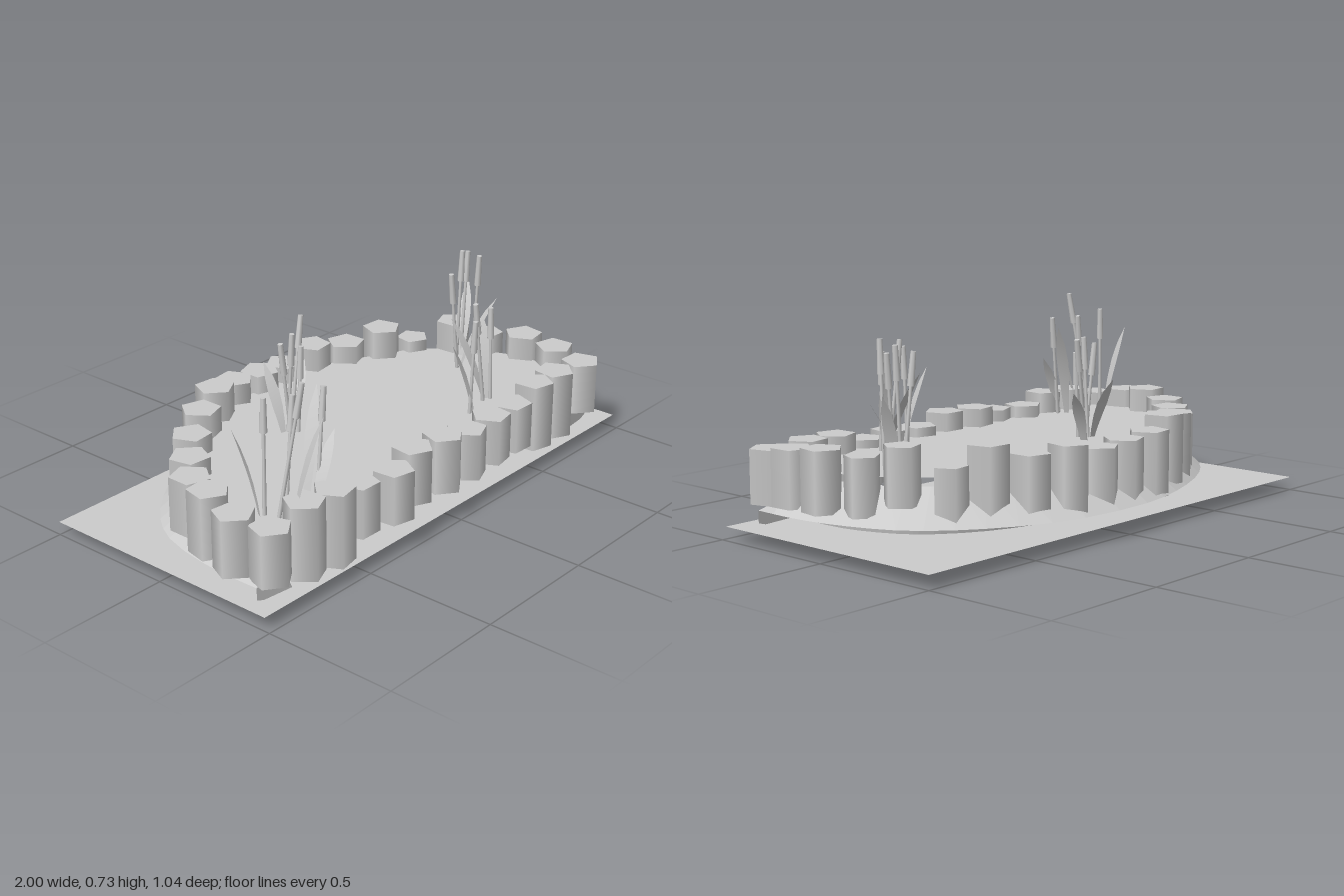
import * as THREE from 'three';

const grey = new THREE.MeshStandardMaterial({ color: 0xcccccc });
const thin = new THREE.MeshStandardMaterial({ color: 0xcccccc, side: THREE.DoubleSide });
const flat = new THREE.MeshStandardMaterial({ color: 0xcccccc, side: THREE.DoubleSide, flatShading: true });
const V = (x, y, z) => new THREE.Vector3(x, y, z);
const UP = V(0, 1, 0);
const GROUND = 0.06, WATER = 0.27;

function add(parent, name, geometry, material = grey) {
  const mesh = new THREE.Mesh(geometry, material);
  mesh.name = name;
  parent.add(mesh);
  return mesh;
}

// Surface through rows of points of equal length
function loft(rows) {
  const n = rows[0].length, index = [];
  for (let r = 0; r < rows.length - 1; r++) {
    for (let i = 0; i < n - 1; i++) {
      const a = r * n + i, b = a + n;
      index.push(a, b, a + 1, b, b + 1, a + 1);
    }
  }
  const g = new THREE.BufferGeometry().setFromPoints(rows.flat());
  g.setIndex(index);
  g.computeVertexNormals();
  return g;
}

// Tapered rod between two points
function rod(parent, name, a, b, r0, r1, sides) {
  const mesh = add(parent, name, new THREE.CylinderGeometry(r1, r0, a.distanceTo(b), sides));
  mesh.position.copy(a).lerp(b, 0.5);
  mesh.quaternion.setFromUnitVectors(UP, b.clone().sub(a).normalize());
}

// Reed: thin stem with a thicker seed head at the tip
function cattail(parent, [bx, bz, tx, ty, tz]) {
  const g = new THREE.Group();
  g.name = 'cattail';
  parent.add(g);
  const base = V(bx, WATER - 0.02, bz), tip = V(tx, ty, tz);
  const neck = tip.clone().lerp(base, 0.12 / base.distanceTo(tip));
  rod(g, 'stem', base, neck, 0.008, 0.006, 6);
  rod(g, 'seedHead', neck, tip, 0.013, 0.01, 7);
}

// Leaf: blade that starts upright, bends outward and ends in a point
function leaf(parent, [bx, bz, tx, ty, tz]) {
  const y0 = WATER - 0.02;
  const bend = new THREE.QuadraticBezierCurve3(
    V(bx, y0, bz), V(bx * 0.7 + tx * 0.3, y0 + (ty - y0) * 0.55, bz * 0.7 + tz * 0.3), V(tx, ty, tz));
  const across = V(tz - bz, 0, bx - tx).normalize();
  const rows = [0.008, 0.014, 0.02, 0.023, 0.017, 0.0005].map((w, i) => {
    const p = bend.getPoint(i / 5);
    return [p.clone().addScaledVector(across, -w), p.clone().addScaledVector(across, w)];
  });
  add(parent, 'leaf', loft(rows), thin);
}

// Horseshoe bank outlines, from the right front round the back: x, z
const lip = [[.92, .4], [.92, .2], [.88, 0], [.79, -.2], [.6, -.37], [.33, -.495], [-.065, -.525],
  [-.35, -.46], [-.62, -.34], [-.8, -.2], [-.9, -.05], [-.95, .2], [-.95, .4]];
const foot = [[.72, .42], [.74, .2], [.7, .03], [.62, -.1], [.45, -.22], [.22, -.29], [-.02, -.31],
  [-.25, -.29], [-.45, -.21], [-.6, -.1], [-.7, .04], [-.77, .22], [-.78, .42]];

// Edging stones: x, z, bottom, top, radius where smaller than usual
const stones = [
  [-.89, .41, .125, .32], [-.73, .41, .08, .35], [-.6, .425, .08, .35], [-.46, .41, .13, .315],
  [-.31, .44, .13, .315], [-.175, .415, .14, .34], [-.03, .435, .135, .34], [.12, .425, .125, .305],
  [.26, .425, .135, .31], [.41, .41, .125, .3], [.555, .405, .08, .335], [.69, .405, .08, .335],
  [.85, .415, .13, .325], [.865, .28, .14, .345], [.86, .135, .14, .36], [.81, -.005, .14, .345, .064],
  [.74, -.12, .18, .385, .066], [.635, -.24, .12, .315, .064], [.51, -.295, .13, .38], [.38, -.37, .12, .34],
  [.24, -.425, .11, .36], [.09, -.43, .11, .33], [-.04, -.435, .11, .34], [-.18, -.435, .11, .35],
  [-.33, -.385, .13, .385], [-.47, -.32, .12, .365], [-.6, -.24, .12, .34], [-.72, -.125, .13, .335],
  [-.83, -.01, .14, .34], [-.89, .135, .13, .36], [-.925, .28, .13, .34],
];

// Reeds: base x, z, then tip x, y, z
const clumps = [
  {
    cattails: [[-.78, .28, -.76, .68, .265], [-.77, .33, -.69, .74, .37], [-.71, .31, -.65, .66, .29], [-.59, .34, -.53, .66, .32]],
    leaves: [[-.79, .27, -.875, .6, .23], [-.62, .32, -.485, .63, .25], [-.74, .37, -.65, .62, .425], [-.62, .36, -.5, .5, .34]],
  },
  {
    cattails: [[-.255, -.08, -.295, .62, -.09], [-.26, -.09, -.245, .645, -.08], [-.24, -.06, -.21, .59, -.07], [-.2, -.13, -.11, .655, -.16]],
    leaves: [[-.28, -.09, -.245, .5, -.22], [-.19, -.13, -.07, .465, -.18]],
  },
  {
    cattails: [[.285, .31, .295, .63, .32], [.41, .28, .36, .665, .27], [.44, .29, .44, .63, .28]],
    leaves: [[.3, .32, .215, .55, .28], [.42, .28, .4, .56, .13], [.43, .28, .49, .56, .21]],
  },
  {
    cattails: [[.59, .02, .545, .665, .015], [.67, .03, .665, .715, .055], [.66, -.04, .69, .705, -.045], [.7, -.05, .745, .685, -.06]],
    leaves: [[.69, -.04, .795, .55, -.09], [.6, .02, .715, .54, .105]],
  },
];

export function createModel() {
  const model = new THREE.Group();
  model.name = 'gardenPond';

  // Flat ground
  const ground = add(model, 'ground', new THREE.PlaneGeometry(2, 0.98), thin);
  ground.rotation.x = -Math.PI / 2;
  ground.position.set(0, GROUND, -0.01);

  // Water: raised sheet that ends within the ring of stones
  const outline = stones.map(([x, z]) => new THREE.Vector2(x * 0.97, -z * 0.95));
  const water = add(model, 'water', new THREE.ShapeGeometry(new THREE.Shape(outline)), thin);
  water.rotation.x = -Math.PI / 2;
  water.position.y = WATER;

  // Bank: outer lip up to a crest, then steeply down to the pond floor
  const curve = (pts, y) => new THREE.CatmullRomCurve3(pts.map(([x, z]) => V(x, y, z)));
  const outer = curve(lip, 0.115), inner = curve(foot, 0.01);
  const rows = [[], [], []];
  for (let i = 0; i <= 30; i++) {
    const a = outer.getPoint(i / 30), b = inner.getPoint(i / 30);
    const end = i === 0 || i === 30;
    rows[0].push(a);
    rows[1].push(a.clone().lerp(b, 0.68).setY(end ? 0.14 : 0.235));
    rows[2].push(b);
  }
  add(model, 'bank', loft(rows), flat);

  // Sloping walls that close both ends of the bank
  for (const i of [0, 30]) {
    const [a, crest, b] = rows.map((row) => row[i]);
    add(model, 'bankEnd', loft([[a, crest], [a.clone().setY(0.07), b]]), flat);
  }

  // Ring of five-sided stones
  const ring = new THREE.Group();
  ring.name = 'stoneRing';
  model.add(ring);
  stones.forEach(([x, z, y0, y1, r = 0.075], i) => {
    const stone = add(ring, 'edgingStone', new THREE.CylinderGeometry(r, r, y1 - y0, 5));
    stone.position.set(x, (y0 + y1) / 2, z);
    stone.rotation.y = (i * 2.3) % (Math.PI * 0.4);
  });

  // Clumps of reeds
  for (const { cattails, leaves } of clumps) {
    const clump = new THREE.Group();
    clump.name = 'reedClump';
    model.add(clump);
    cattails.forEach((c) => cattail(clump, c));
    leaves.forEach((l) => leaf(clump, l));
  }
  return model;
}
